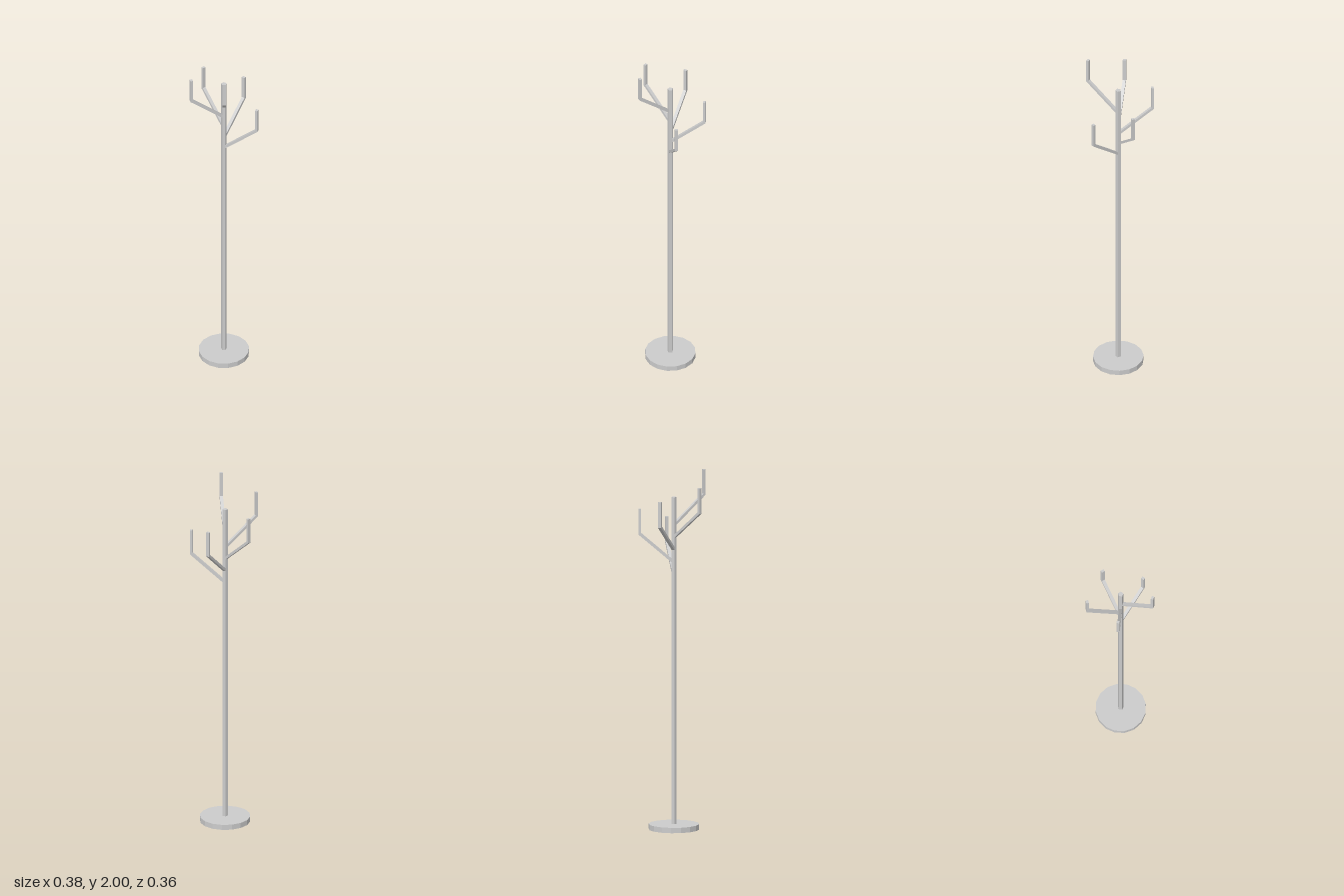
import * as THREE from 'three';

export function createModel() {
  const group = new THREE.Group();
  const material = new THREE.MeshStandardMaterial({ color: 0xcccccc, flatShading: true });
  const stand = new THREE.Group();
  stand.name = 'coatStand';
  stand.position.z = 0.015;
  group.add(stand);

  function add(name, geometry, y = 0) {
    const mesh = new THREE.Mesh(geometry, material);
    mesh.name = name;
    mesh.position.y = y;
    stand.add(mesh);
    return mesh;
  }

  // Sixteen-sided foot and five-sided pole
  add('base', new THREE.CylinderGeometry(0.14, 0.14, 0.03, 16), 0.015);
  add('pole', new THREE.CylinderGeometry(0.0155, 0.0155, 1.835, 5), 0.9425);

  // Bent arm: slanted branch with an upright tip, side profile extruded to the pole's face width
  const width = 0.018;
  const profile = new THREE.Shape([
    [0.0125, 1.425], [0.197, 1.577], [0.197, 1.72],
    [0.183, 1.72], [0.183, 1.584], [0.0125, 1.443],
  ].map(([r, y]) => new THREE.Vector2(r, y)));
  const armGeometry = new THREE.ExtrudeGeometry(profile, { depth: width, bevelEnabled: false });
  armGeometry.translate(0, 0, -width / 2);

  // One arm per pole face, spiralling upwards
  const names = ['leftArm', 'backArm', 'rightArm', 'frontRightArm', 'frontLeftArm'];
  names.forEach((name, i) => {
    const arm = add(name, armGeometry, i * 0.07);
    arm.rotation.y = THREE.MathUtils.degToRad(18 + 72 * i);
  });

  return group;
}
